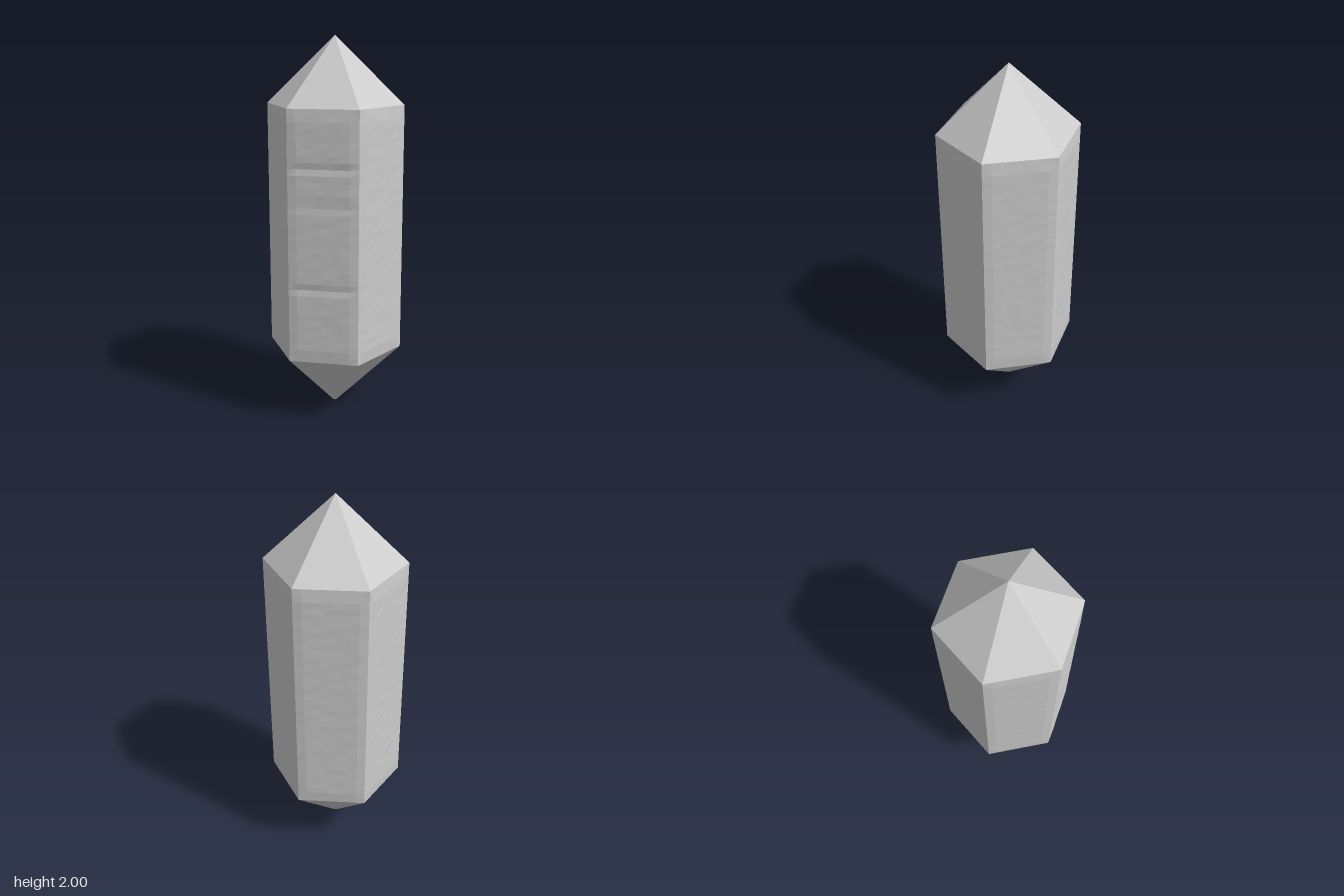
import * as THREE from 'three';

const RADIUS = 0.36, SIDES = 6;
const LOW = 0.35, HIGH = 1.655, TOP = 2;

const material = new THREE.MeshStandardMaterial({ color: 0xcccccc, flatShading: true });

// Small repeatable random numbers for the rough stone relief
function seeded(seed) {
  return () => {
    seed = (seed * 16807) % 2147483647;
    return seed / 2147483647;
  };
}

// Corner of the hexagon; corner 0 points to the front
function corner(i) {
  const a = (i / SIDES) * Math.PI * 2;
  return new THREE.Vector2(Math.sin(a) * RADIUS, Math.cos(a) * RADIUS);
}

// One upright side: a plane swelling slightly between its fixed borders
function sideFace(i, grooves) {
  const random = seeded(101 + i * 977);
  const geometry = new THREE.PlaneGeometry(1, 1, 8, 40);
  const pos = geometry.attributes.position;
  const a = corner(i), b = corner(i + 1);
  const out = a.clone().add(b).normalize();
  for (let k = 0; k < pos.count; k++) {
    const u = pos.getX(k) + 0.5, v = pos.getY(k) + 0.5;
    const y = LOW + (HIGH - LOW) * v;
    const inner = Math.min(1, 8 * u, 8 * (1 - u), 20 * v, 20 * (1 - v));
    let push = 0.005 + (random() - 0.5) * 0.0015;
    for (const g of grooves) push -= 0.007 * Math.exp(-(((y - g) / 0.015) ** 2));
    const p = a.clone().lerp(b, u).addScaledVector(out, push * inner);
    pos.setXYZ(k, p.x, y, p.y);
  }
  geometry.computeVertexNormals();
  return geometry;
}

// Six-sided point, closed towards its tip
function point(name, profile) {
  const geometry = new THREE.LatheGeometry(profile.map(([r, y]) => new THREE.Vector2(r, y)), SIDES);
  const mesh = new THREE.Mesh(geometry, material);
  mesh.name = name;
  return mesh;
}

export function createModel() {
  const model = new THREE.Group();
  model.name = 'crystal';

  // Prism shaft, with worn cross grooves on the front left side
  const shaft = new THREE.Group();
  shaft.name = 'shaft';
  for (let i = 0; i < SIDES; i++) {
    const side = new THREE.Mesh(sideFace(i, i === 0 ? [1.37, 1.18, 0.75] : []), material);
    side.name = 'shaftSide' + (i + 1);
    shaft.add(side);
  }
  model.add(shaft);

  // Pyramid ends
  model.add(point('upperPoint', [[RADIUS, HIGH], [0, TOP]]));
  model.add(point('lowerPoint', [[0, 0], [0.012, 0.006], [RADIUS, LOW]]));
  return model;
}
